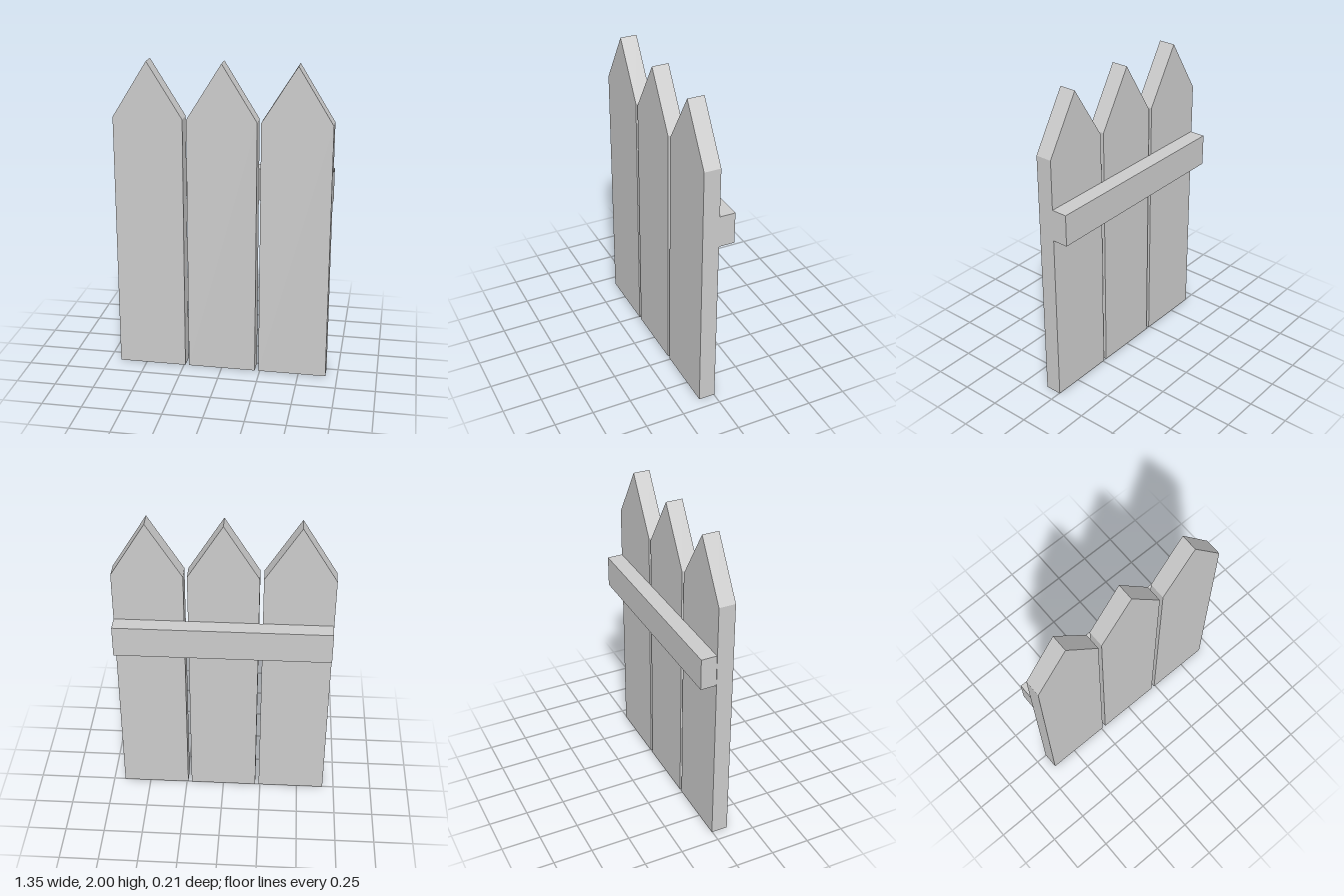
import * as THREE from 'three';

const WIDTH = 0.434;      // plank width
const PITCH = 0.458;      // distance between plank centres
const SHOULDER = 1.65;    // height where the point starts
const TOP = 2;
const FRONT = 0.103, JOINT = -0.003, BACK = -0.103; // z limits

export function createModel() {
  const group = new THREE.Group();
  group.name = 'picketFence';
  const material = new THREE.MeshStandardMaterial({ color: 0xcccccc, flatShading: true });

  // Pointed planks
  const h = WIDTH / 2;
  const outline = new THREE.Shape([
    new THREE.Vector2(-h, 0),
    new THREE.Vector2(h, 0),
    new THREE.Vector2(h, SHOULDER),
    new THREE.Vector2(0, TOP),
    new THREE.Vector2(-h, SHOULDER),
  ]);
  const plankGeometry = new THREE.ExtrudeGeometry(outline, {
    depth: FRONT - JOINT,
    bevelEnabled: false,
  });
  ['rightPlank', 'middlePlank', 'leftPlank'].forEach((name, i) => {
    const plank = new THREE.Mesh(plankGeometry, material);
    plank.name = name;
    plank.position.set((i - 1) * PITCH, 0, JOINT);
    group.add(plank);
  });

  // Cross rail behind the planks
  const rail = new THREE.Mesh(
    new THREE.BoxGeometry(2 * PITCH + WIDTH - 0.004, 0.204, JOINT - BACK),
    material
  );
  rail.name = 'crossRail';
  rail.position.set(0.002, 1.232, (JOINT + BACK) / 2);
  group.add(rail);

  return group;
}
